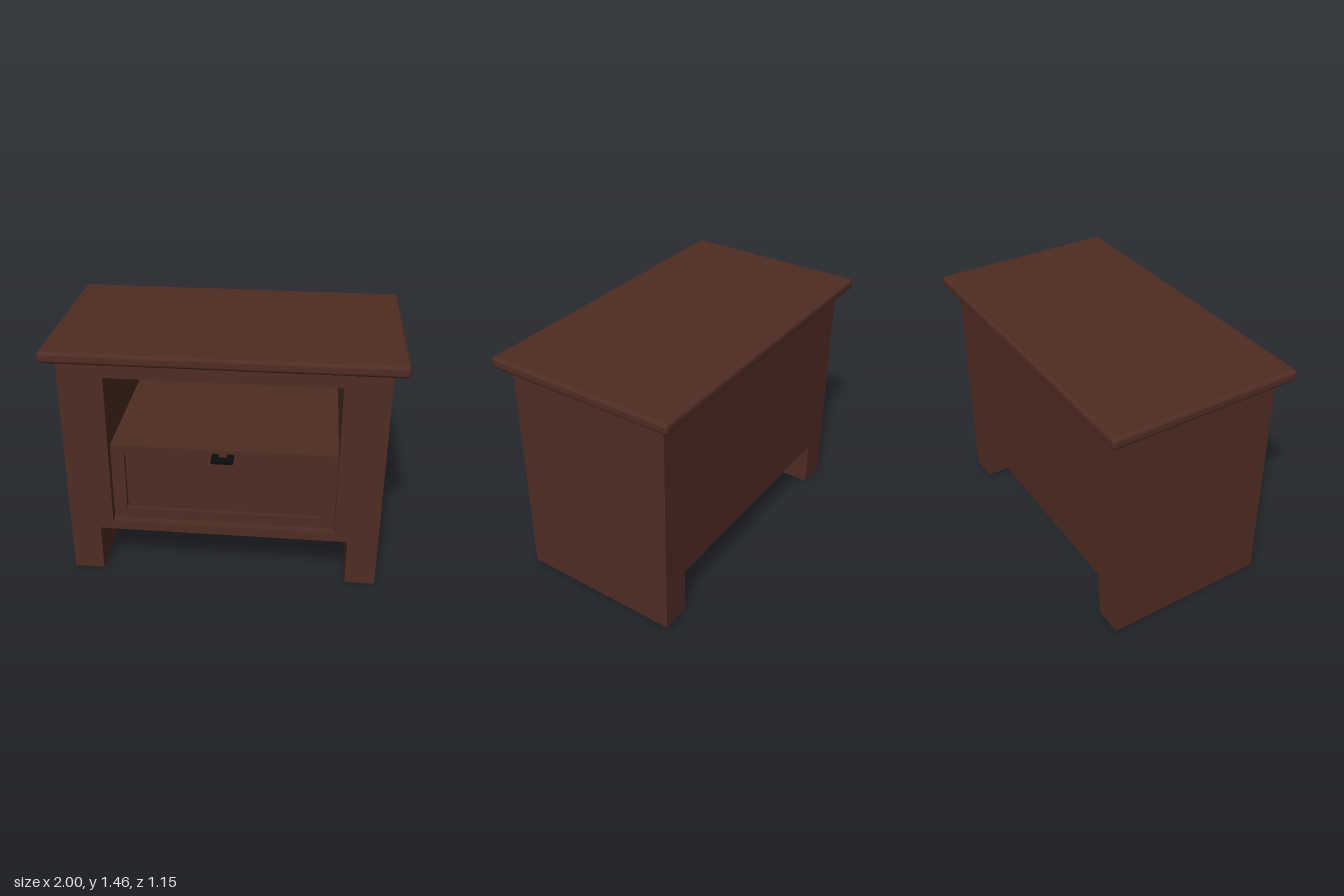
import * as THREE from 'three';
import { RoundedBoxGeometry } from 'three/addons/geometries/RoundedBoxGeometry.js';

const wood = new THREE.MeshStandardMaterial({ color: 0x4e2c23 });
const black = new THREE.MeshStandardMaterial({ color: 0x0c0c0c });

// Rectangle given by half width and bottom/top heights
const rect = (Type, w, y0, y1) => new Type([[-w, y0], [w, y0], [w, y1], [-w, y1]].map(p => new THREE.Vector2(...p)));

export function createModel() {
  const model = new THREE.Group();

  function add(parent, name, geometry, material, x = 0, y = 0, z = 0) {
    const mesh = new THREE.Mesh(geometry, material);
    mesh.name = name;
    mesh.position.set(x, y, z);
    parent.add(mesh);
    return mesh;
  }
  const extrude = (shape, depth) => new THREE.ExtrudeGeometry(shape, { depth, bevelEnabled: false });

  // Cabinet outline with two full-depth legs
  const outline = () => new THREE.Shape([
    [-0.92, 0], [-0.74, 0], [-0.74, 0.295], [0.74, 0.295],
    [0.74, 0], [0.92, 0], [0.92, 1.4], [-0.92, 1.4],
  ].map(p => new THREE.Vector2(...p)));

  // Carcass with the front opening, closed by a back panel
  const carcass = outline();
  carcass.holes.push(rect(THREE.Path, 0.66, 0.352, 1.295));
  add(model, 'carcass', extrude(carcass, 0.96), wood, 0, 0, -0.46);
  add(model, 'backPanel', extrude(outline(), 0.04), wood, 0, 0, -0.5);

  // Overhanging top with softened edges
  add(model, 'tableTop', new RoundedBoxGeometry(2, 0.066, 1.15, 4, 0.022), wood, 0, 1.43, 0);

  // Drawer: box that carries the shelf surface, and a frame around a sunken panel
  const drawer = new THREE.Group();
  drawer.name = 'drawer';
  model.add(drawer);
  const y0 = 0.352, y1 = 0.845, front = 0.45, sink = 0.03;
  add(drawer, 'drawerBox', new THREE.BoxGeometry(1.32, y1 - y0, front - sink + 0.46), wood,
    0, (y0 + y1) / 2, (front - sink - 0.46) / 2);
  const frame = rect(THREE.Shape, 0.66, y0, y1);
  frame.holes.push(rect(THREE.Path, 0.58, 0.415, 0.785));
  add(drawer, 'drawerFrame', extrude(frame, sink), wood, 0, 0, front - sink);

  // Handle: bar on two short posts
  const handle = new THREE.Group();
  handle.name = 'handle';
  handle.position.set(0, 0.811, front);
  drawer.add(handle);
  add(handle, 'handleBar', new THREE.BoxGeometry(0.126, 0.022, 0.04), black, 0, 0, 0.06);
  for (const side of [-1, 1]) {
    add(handle, 'handlePost', new THREE.BoxGeometry(0.038, 0.022, 0.04), black, side * 0.044, 0, 0.02);
  }

  return model;
}
